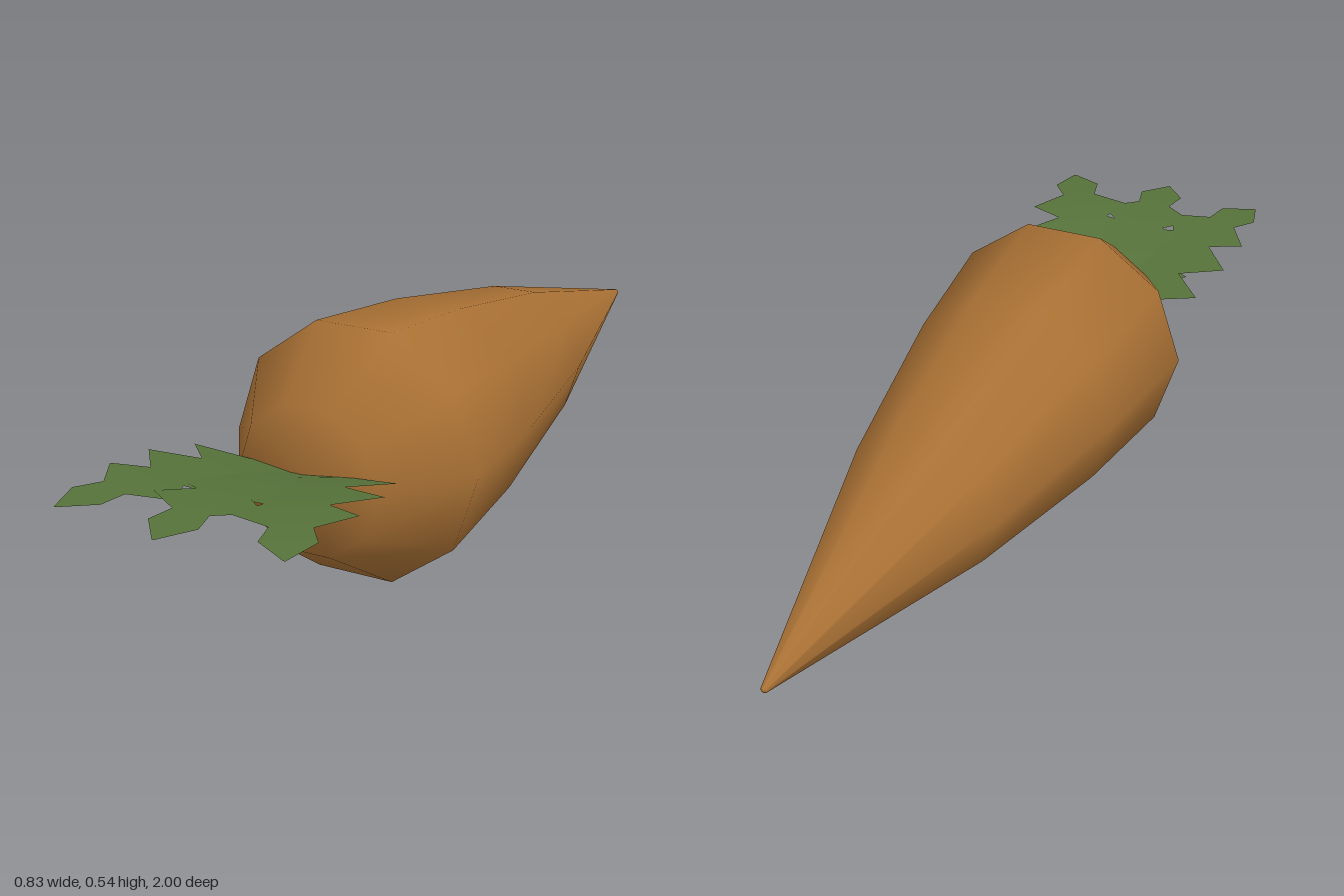
import * as THREE from 'three';

const orange = new THREE.MeshStandardMaterial({ color: 0xa87034 });
orange.name = 'carrot orange';
const green = new THREE.MeshStandardMaterial({ color: 0x56723a, side: THREE.DoubleSide });
green.name = 'leaf green';

// Ten-sided root, lathed from the flat crown to the tip, then laid on its side
function createRoot() {
  const profile = [[0, 0], [0.162, 0], [0.285, 0.183], [0.25, 0.495], [0.171, 0.92], [0.007, 1.535], [0, 1.54]];
  const geometry = new THREE.LatheGeometry(profile.map(([r, t]) => new THREE.Vector2(r, t)), 10);
  geometry.rotateY(Math.PI / 2).rotateX(-Math.PI / 2).rotateY(-0.297);
  const root = new THREE.Mesh(geometry, orange);
  root.name = 'root';
  root.position.set(-0.045, 0.272, 0.472);
  return root;
}

// Serrated frond: pairs of [distance along the rib, half width], arched upward
const SERRATION = [
  [0.02, 0.02], [0.1, 0.09], [0.165, 0.178], [0.21, 0.08], [0.285, 0.158],
  [0.34, 0.06], [0.396, 0.118], [0.455, 0.04], [0.515, 0.053], [0.582, 0.002],
];

function createFrond(name, angle, length, lift) {
  const geometry = new THREE.PlaneGeometry(1, 1, 1, SERRATION.length - 1);
  const position = geometry.attributes.position;
  for (let i = 0; i < position.count; i++) {
    const [along, half] = SERRATION[Math.floor(i / 2)];
    const arch = 0.348 - 0.4 * (along - 0.45) ** 2;
    position.setXYZ(i, i % 2 ? half : -half, arch, along * length);
  }
  geometry.computeVertexNormals();
  const frond = new THREE.Mesh(geometry, green);
  frond.name = name;
  frond.rotation.y = angle;
  frond.position.set(-0.05, lift, 0.42);
  return frond;
}

export function createModel() {
  const model = new THREE.Group();
  model.name = 'carrot';
  const leaves = new THREE.Group();
  leaves.name = 'leaves';
  leaves.add(
    createFrond('rightFrond', -0.7, 0.98, 0),
    createFrond('middleFrond', -0.26, 0.96, 0.001),
    createFrond('leftFrond', 0.18, 1.01, 0.002),
  );
  model.add(createRoot(), leaves);
  return model;
}
